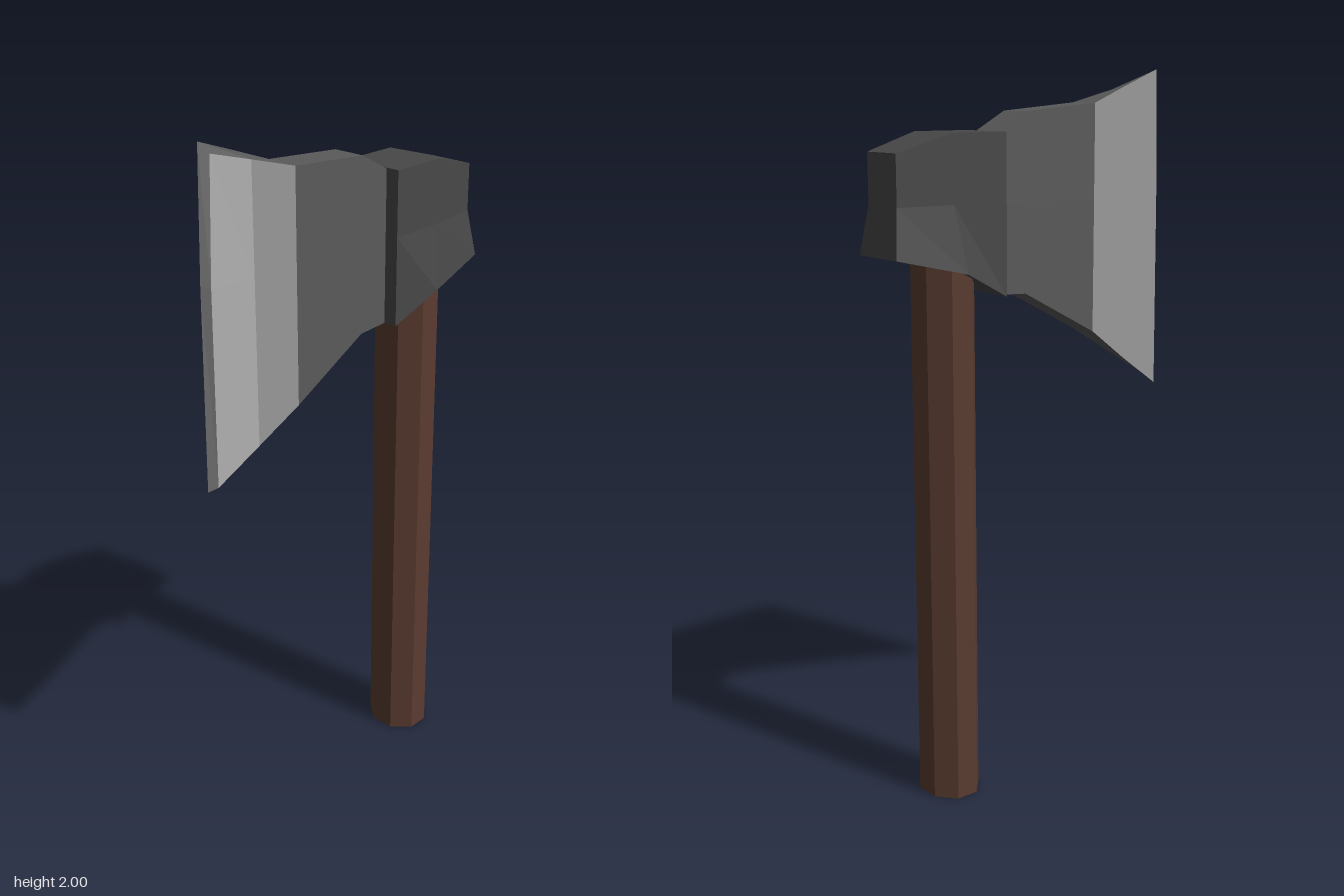
import * as THREE from 'three';

// A ring has six corners, front top-mid-bottom then back bottom-mid-top.
// Each row is [x, y, frontZ, backZ, backX, backY]; the last three mirror the front by default.
function ring(...rows) {
  const front = rows.map(([x, y, z]) => [x, y, z]);
  const back = rows.map(([x, y, z, bz = -z, bx = x, by = y]) => [bx, by, bz]);
  return [...front, ...back.reverse()];
}

// Skins the chosen sides between rings that run towards +x, with optional end caps.
function loft(rings, { sides = [0, 1, 2, 3, 4, 5], startCap = false, endCap = false } = {}) {
  const positions = [];
  const quad = (a, b, c, d) => positions.push(...a, ...b, ...c, ...a, ...c, ...d);
  for (let i = 0; i < rings.length - 1; i++) {
    const [A, B] = [rings[i], rings[i + 1]];
    for (const j of sides) {
      const k = (j + 1) % 6;
      quad(A[j], A[k], B[k], B[j]);
    }
  }
  const capQuads = [[0, 1, 4, 5], [1, 2, 3, 4]];
  const last = rings[rings.length - 1];
  for (const q of capQuads) {
    if (startCap) quad(...[...q].reverse().map((n) => rings[0][n]));
    if (endCap) quad(...q.map((n) => last[n]));
  }
  const geometry = new THREE.BufferGeometry();
  geometry.setAttribute('position', new THREE.Float32BufferAttribute(positions, 3));
  geometry.computeVertexNormals();
  return geometry;
}

export function createModel() {
  const axe = new THREE.Group();
  axe.name = 'axe';

  const material = (color) => new THREE.MeshStandardMaterial({ color, flatShading: true });
  const iron = material(0x484848);
  const steel = material(0x5a5a5a);
  const ground = material(0x9a9a9a);
  const honed = material(0xb2b2b2);
  const wood = material(0x5a3c30);

  const add = (name, geometry, mat, parent = axe) => {
    const mesh = new THREE.Mesh(geometry, mat);
    mesh.name = name;
    parent.add(mesh);
    return mesh;
  };

  // Octagonal handle, deeper than it is wide
  const radius = 1 / Math.cos(Math.PI / 8);
  const handleShape = new THREE.CylinderGeometry(radius, radius, 1.56, 8);
  handleShape.rotateY(Math.PI / 8);
  handleShape.scale(0.077, 1, 0.088);
  add('handle', handleShape, wood).position.set(0.273, 0.78, 0);

  // Socket around the handle, flaring at its lower edge
  add('socket', loft([
    ring([0.125, 1.84, 0.087], [0.125, 1.66, 0.087], [0.125, 1.41, 0.087]),
    ring([0.295, 1.84, 0.087], [0.295, 1.66, 0.087], [0.27, 1.483, 0.113]),
    ring([0.455, 1.793, 0.065], [0.455, 1.66, 0.065], [0.473, 1.53, 0.085]),
  ], { startCap: true, endCap: true }), iron);

  // Blade: flat cheek, then a bevel narrowing to an off-centre edge
  const blade = new THREE.Group();
  blade.name = 'blade';
  axe.add(blade);

  const edge = ring(
    [-0.45, 1.975, 0, -0.03, -0.46, 2.0],
    [-0.463, 1.65, 0, -0.03, -0.471, 1.65],
    [-0.467, 1.11, 0, -0.03, -0.477, 1.09],
  );
  const middle = ring(
    [-0.34, 1.945, 0.024, -0.038, -0.34, 1.957],
    [-0.34, 1.65, 0.024, -0.038],
    [-0.34, 1.193, 0.024, -0.038, -0.34, 1.184],
  );
  const shoulder = ring([-0.215, 1.91, 0.047], [-0.215, 1.65, 0.047], [-0.215, 1.275, 0.047]);
  const neck = ring([0.03, 1.89, 0.047], [0.03, 1.65, 0.047], [0.03, 1.405, 0.047]);
  const root = ring([0.125, 1.838, 0.047], [0.125, 1.65, 0.047], [0.125, 1.41, 0.047]);

  add('cheek', loft([shoulder, neck, root]), steel, blade);
  add('bevelRims', loft([edge, middle, shoulder], { sides: [2, 5] }), steel, blade);
  add('frontBevel', loft([middle, shoulder], { sides: [0, 1] }), ground, blade);
  add('backBevel', loft([edge, middle, shoulder], { sides: [3, 4] }), ground, blade);
  add('honedFace', loft([edge, middle], { sides: [0, 1] }), honed, blade);
  add('cuttingEdge', loft([edge], { startCap: true }), ground, blade);

  return axe;
}
